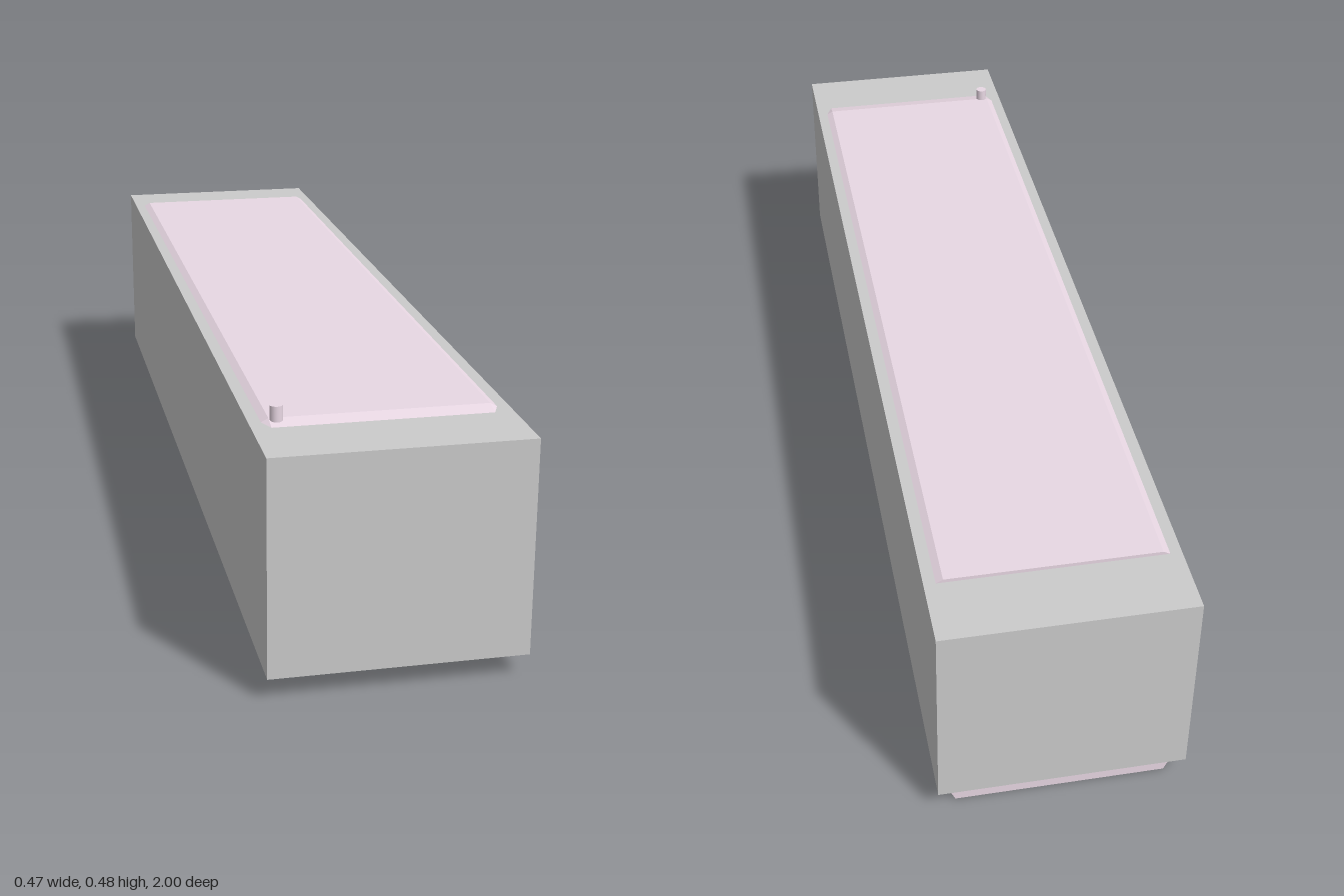
import * as THREE from 'three';
import { ConvexGeometry } from 'three/addons/geometries/ConvexGeometry.js';

const grey = new THREE.MeshStandardMaterial({ color: 0xcccccc });
const pink = new THREE.MeshStandardMaterial({ color: 0xe9d8e4 });

// Panel that tapers from its wide face (against the body) to its narrow outer face:
// sloped sides and front, cut front corners, upright back.
function taperedPanel(wideY, outerY, wideX, outerX, frontZ, outerZ, backZ) {
  const points = [];
  for (const s of [-1, 1]) {
    points.push(
      new THREE.Vector3(s * outerX, wideY, frontZ),
      new THREE.Vector3(s * wideX, wideY, outerZ),
      new THREE.Vector3(s * wideX, wideY, backZ),
      new THREE.Vector3(s * outerX, outerY, outerZ),
      new THREE.Vector3(s * outerX, outerY, backZ)
    );
  }
  return new ConvexGeometry(points);
}

export function createModel() {
  const model = new THREE.Group();
  const add = (name, geometry, material, x = 0, y = 0, z = 0) => {
    const mesh = new THREE.Mesh(geometry, material);
    mesh.name = name;
    mesh.position.set(x, y, z);
    model.add(mesh);
  };

  // Long main block
  add('body', new THREE.BoxGeometry(0.466, 0.402, 2), grey, 0, 0.244, 0);

  // Thin raised panel on top and deeper one underneath
  add('topPanel', taperedPanel(0.445, 0.452, 0.211, 0.198, 0.862, 0.832, -0.865), pink);
  add('bottomPanel', taperedPanel(0.043, 0, 0.217, 0.198, 0.87, 0.832, -0.98), pink);

  // Small peg at the front right corner of the top
  add('peg', new THREE.CylinderGeometry(0.012, 0.012, 0.032, 16), pink, -0.185, 0.461, 0.836);

  return model;
}
